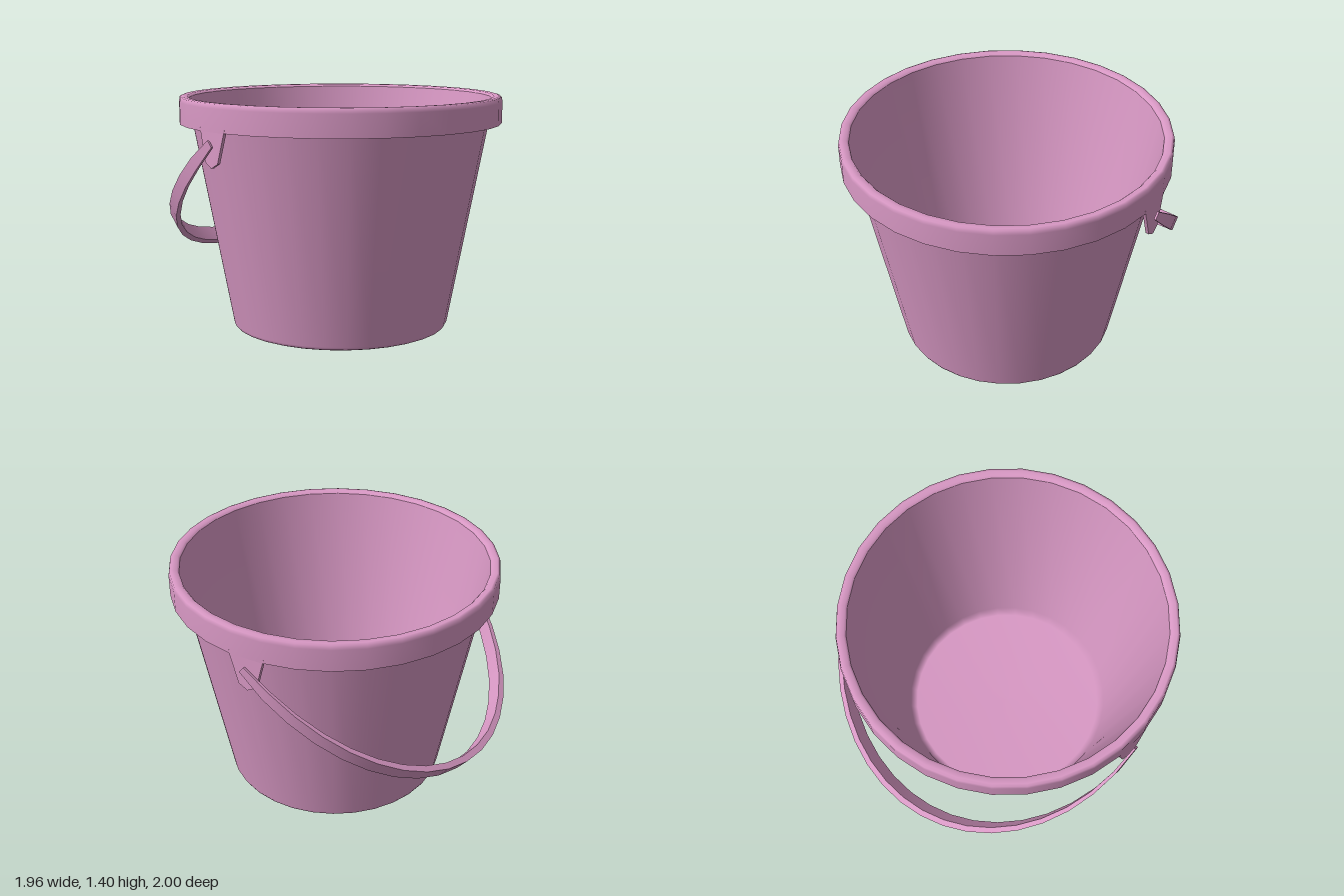
import * as THREE from 'three';
import { toCreasedNormals } from 'three/addons/utils/BufferGeometryUtils.js';

const SEGMENTS = 32;
const CENTRE_Z = 0.04; // axis of the bucket
const RIM = 0.96;

const pink = new THREE.MeshStandardMaterial({ color: 0xd898c4 });

function addPart(parent, name, geometry) {
  const mesh = new THREE.Mesh(geometry, pink);
  mesh.name = name;
  parent.add(mesh);
  return mesh;
}

function lathe(profile) {
  return new THREE.LatheGeometry(profile.map(([r, y]) => new THREE.Vector2(r, y)), SEGMENTS);
}

// Thin tab hanging from the rim, bent to follow its curve
function lugGeometry(side) {
  const shape = new THREE.Shape([
    [-0.06, 1.26], [0, 1.07], [0.055, 1.04], [0.11, 1.07], [0.16, 1.26],
  ].map(([x, y]) => new THREE.Vector2(x, y)));
  const geometry = new THREE.ExtrudeGeometry(shape, { depth: 0.02, bevelEnabled: false });
  geometry.rotateY(Math.PI / 2);
  geometry.translate(side > 0 ? RIM - 0.02 : -RIM, 0, 0);
  const p = geometry.attributes.position;
  for (let i = 0; i < p.count; i++) {
    const sag = RIM - Math.sqrt(RIM * RIM - (p.getZ(i) - CENTRE_Z) ** 2);
    p.setX(i, p.getX(i) - side * sag);
  }
  geometry.computeVertexNormals();
  return geometry;
}

// Half-ellipse band with a rectangular section, thinner and narrower at the tips
function handleGeometry() {
  const steps = 20, a = 0.98, b = 1.205;
  const positions = [], index = [];
  for (let i = 0; i <= steps; i++) {
    const t = (i / steps) * Math.PI;
    const c = Math.cos(t), s = Math.max(0, Math.sin(t));
    const outer = new THREE.Vector2(a * c, -b * s);
    const normal = new THREE.Vector2(b * c, -a * s).normalize();
    const inner = outer.clone().addScaledVector(normal, -(0.012 + 0.028 * s));
    const w = 0.024 + 0.027 * Math.pow(s, 0.4);
    positions.push(outer.x, outer.y, w, outer.x, outer.y, -w,
      inner.x, inner.y, -w, inner.x, inner.y, w);
    if (i === steps) break;
    for (let k = 0; k < 4; k++) {
      const p = i * 4 + k, q = i * 4 + (k + 1) % 4;
      index.push(p, p + 4, q, q, p + 4, q + 4);
    }
  }
  const e = steps * 4;
  index.push(0, 1, 2, 0, 2, 3, e, e + 2, e + 1, e, e + 3, e + 2);
  const geometry = new THREE.BufferGeometry();
  geometry.setAttribute('position', new THREE.Float32BufferAttribute(positions, 3));
  geometry.setIndex(index);
  return toCreasedNormals(geometry, 0.7);
}

export function createModel() {
  const model = new THREE.Group();
  model.name = 'bucket';

  // Round parts share one axis
  const round = new THREE.Group();
  round.name = 'bucketBody';
  round.position.z = CENTRE_Z;
  model.add(round);

  addPart(round, 'outerWall', lathe([[0, 0], [0.625, 0], [0.645, 0.008], [0.655, 0.025], [0.91, 1.385]]));
  addPart(round, 'innerWall', lathe([[0.9, 1.385], [0.64, 0.06], [0.6, 0.025], [0, 0.02]]));

  // Rim skirt: outside and top, then lower edge, then inside
  addPart(round, 'rim', lathe([[RIM, 1.24], [RIM, 1.37], [0.955, 1.395], [0.94, 1.4], [0.912, 1.398], [0.9, 1.385]]));
  addPart(round, 'rimLowerEdge', lathe([[0.94, 1.24], [RIM, 1.24]]));
  addPart(round, 'rimInside', lathe([[0.908, 1.38], [0.94, 1.38], [0.94, 1.24]]));

  for (const side of [1, -1]) {
    addPart(model, side > 0 ? 'leftLug' : 'rightLug', lugGeometry(side));
  }

  // Carrying handle hanging down behind
  const handle = addPart(model, 'handle', handleGeometry());
  handle.position.set(0, 1.18, -0.04);
  handle.rotation.x = 0.877;

  return model;
}
